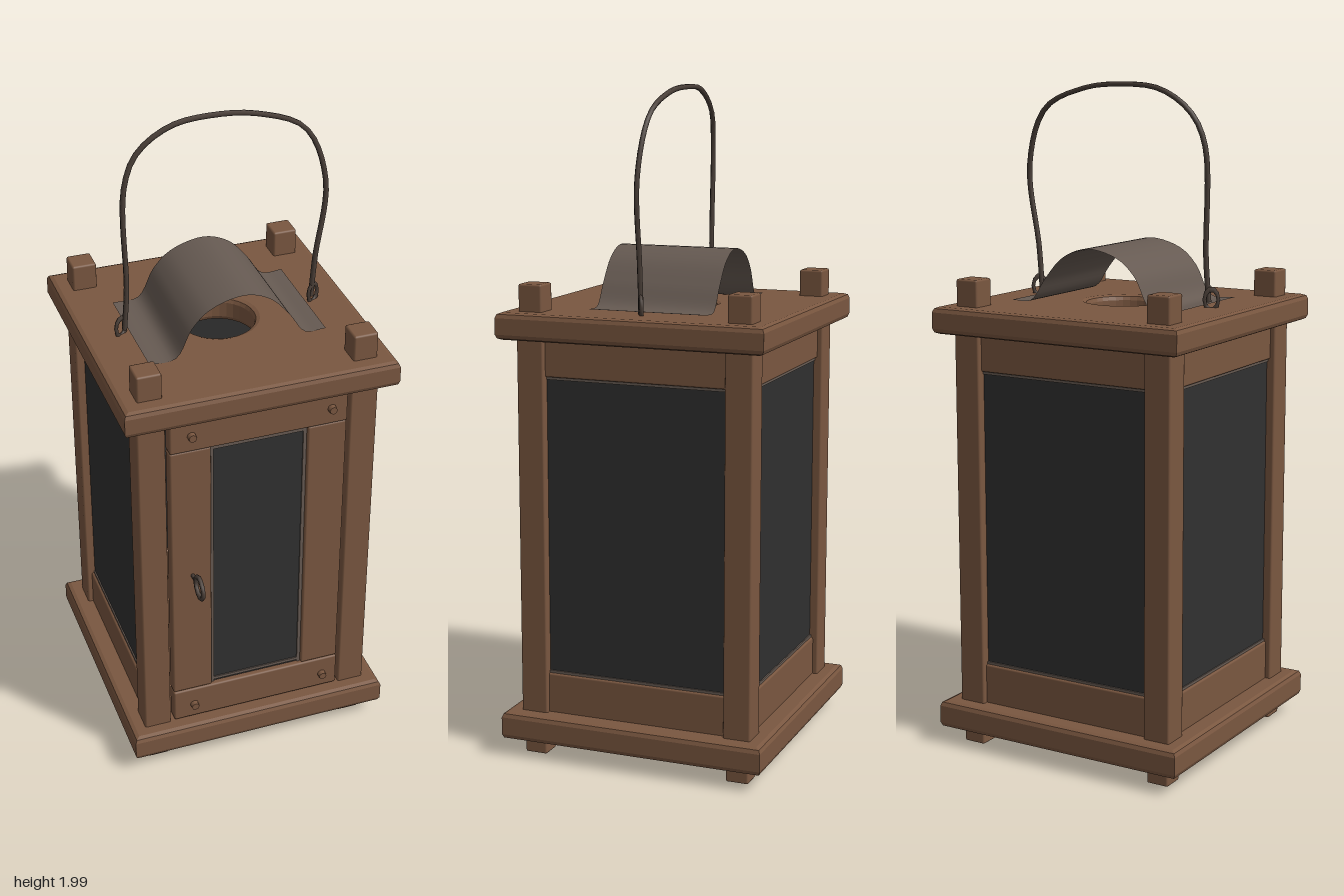
import * as THREE from 'three';
import { RoundedBoxGeometry } from 'three/addons/geometries/RoundedBoxGeometry.js';

function material(name, color, side = THREE.FrontSide) {
  const m = new THREE.MeshStandardMaterial({ color, side });
  m.name = name;
  return m;
}

export function createModel() {
  const lantern = new THREE.Group();
  lantern.name = 'lantern';
  const wood = material('brown wood', 0x7a5740);
  const glass = material('dark glass', 0x303030);
  const tin = material('grey tin', 0x665a52, THREE.DoubleSide);
  const iron = material('dark iron', 0x4a3f38);

  // The wooden body sits slightly behind the origin; the door ring reaches forward.
  const body = new THREE.Group();
  body.name = 'body';
  body.position.z = -0.03;
  lantern.add(body);

  const add = (parent, name, geometry, mat, x = 0, y = 0, z = 0) => {
    const mesh = new THREE.Mesh(geometry, mat);
    mesh.name = name;
    mesh.position.set(x, y, z);
    parent.add(mesh);
    return mesh;
  };
  // Softened board given by its x, y and z limits
  const board = (parent, name, [x0, x1], [y0, y1], [z0, z1], mat = wood) =>
    add(parent, name, new RoundedBoxGeometry(x1 - x0, y1 - y0, z1 - z0, 1, 0.006), mat,
      (x0 + x1) / 2, (y0 + y1) / 2, (z0 + z1) / 2);

  // Square bevelled slab, optionally with a round smoke hole
  const slab = (name, y0, y1, holeRadius) => {
    const b = 0.016, h = 0.41 - b;
    const shape = new THREE.Shape([[-h, -h], [h, -h], [h, h], [-h, h]].map(p => new THREE.Vector2(...p)));
    if (holeRadius) {
      shape.holes.push(new THREE.Path().absarc(0, 0, holeRadius + b, 0, Math.PI * 2, true));
    }
    const g = new THREE.ExtrudeGeometry(shape, {
      depth: y1 - y0 - 2 * b, bevelSize: b, bevelThickness: b, bevelSegments: 2, curveSegments: 16,
    });
    g.rotateX(-Math.PI / 2);
    add(body, name, g, wood, 0, y0 + b, 0);
  };
  slab('base', 0.06, 0.145);
  slab('roof', 1.275, 1.355, 0.11);

  // Corner posts with tenons through the roof and feet below the base
  for (const sx of [-1, 1]) {
    for (const sz of [-1, 1]) {
      const x = sx * 0.322, z = sz * 0.322;
      board(body, 'cornerPost', [x - 0.042, x + 0.042], [0.13, 1.29], [z - 0.042, z + 0.042]);
      board(body, 'postTop', [x - 0.037, x + 0.037], [1.33, 1.435], [z - 0.037, z + 0.037]);
      board(body, 'foot', [x - 0.035, x + 0.035], [0.01, 0.08], [z - 0.035, z + 0.035]);
    }
  }

  // Glazed walls: left, right and back
  for (const [name, angle] of [['leftWall', Math.PI / 2], ['rightWall', -Math.PI / 2], ['backWall', Math.PI]]) {
    const wall = new THREE.Group();
    wall.name = name;
    wall.rotation.y = angle;
    body.add(wall);
    board(wall, 'lowerRail', [-0.285, 0.285], [0.14, 0.265], [0.31, 0.348]);
    board(wall, 'upperRail', [-0.285, 0.285], [1.165, 1.28], [0.31, 0.348]);
    add(wall, 'pane', new THREE.BoxGeometry(0.57, 0.92, 0.01), glass, 0, 0.715, 0.332);
    for (const y of [0.269, 1.161]) {
      add(wall, 'paneEdge', new THREE.BoxGeometry(0.56, 0.008, 0.012), tin, 0, y, 0.335);
    }
  }

  // Door with narrow pane
  const door = new THREE.Group();
  door.name = 'door';
  body.add(door);
  board(door, 'doorLowerRail', [-0.27, 0.27], [0.15, 0.262], [0.325, 0.368]);
  board(door, 'doorUpperRail', [-0.27, 0.27], [1.162, 1.27], [0.325, 0.368]);
  board(door, 'doorRightStile', [-0.27, -0.145], [0.262, 1.162], [0.325, 0.365]);
  board(door, 'doorLeftStile', [0.15, 0.27], [0.262, 1.162], [0.325, 0.365]);
  add(door, 'doorPane', new THREE.BoxGeometry(0.31, 0.92, 0.01), glass, 0.002, 0.712, 0.345);
  for (const x of [-0.14, 0.145]) {
    add(door, 'doorPaneEdge', new THREE.BoxGeometry(0.01, 0.9, 0.012), tin, x, 0.712, 0.348);
  }
  for (const y of [0.274, 1.15]) {
    add(door, 'doorPaneEdge', new THREE.BoxGeometry(0.285, 0.01, 0.012), tin, 0.002, y, 0.348);
  }
  // Pegs in the door rails
  for (const x of [-0.205, 0.22]) {
    for (const y of [0.2, 1.215]) {
      const peg = new THREE.CylinderGeometry(0.012, 0.014, 0.02, 8).rotateX(Math.PI / 2);
      add(door, 'doorPeg', peg, wood, x, y, 0.373);
    }
  }
  // Pull ring on a short shank
  const ring = add(lantern, 'pullRing', new THREE.TorusGeometry(0.034, 0.007, 6, 12), iron, -0.205, 0.712, 0.398);
  ring.rotation.set(0.4, Math.PI / 2, 0);
  add(lantern, 'ringShank', new THREE.CylinderGeometry(0.006, 0.006, 0.035, 6).rotateX(Math.PI / 2),
    iron, -0.205, 0.712, 0.348);

  // Bent tin hood above the smoke hole, open at both ends
  const arch = [[-0.14, 1.45], [-0.085, 1.5], [0.02, 1.525], [0.1, 1.495], [0.16, 1.43]];
  const curve = new THREE.CatmullRomCurve3(
    [[-0.27, 1.36], [-0.19, 1.363], ...arch, [0.21, 1.363], [0.275, 1.36]].map(([x, y]) => new THREE.Vector3(x, y, 0)));
  const hood = new THREE.PlaneGeometry(1, 0.365, 40, 1).rotateX(-Math.PI / 2);
  const p = hood.attributes.position;
  for (let i = 0; i < p.count; i++) {
    const c = curve.getPoint(p.getX(i) + 0.5);
    p.setXYZ(i, c.x, c.y, p.getZ(i) - 0.03 - c.x * 0.04);
  }
  hood.computeVertexNormals();
  add(lantern, 'smokeHood', hood, tin);

  // Carrying wire and its staples
  const wirePoints = [
    [-0.285, 1.37, -0.03], [-0.275, 1.5, -0.03], [-0.272, 1.82, -0.035], [-0.23, 1.915, -0.045],
    [-0.13, 1.98, -0.05], [0, 1.992, -0.055], [0.13, 1.978, -0.05], [0.27, 1.915, -0.045],
    [0.333, 1.745, -0.035], [0.305, 1.5, -0.03], [0.295, 1.37, -0.03],
  ].map(a => new THREE.Vector3(...a));
  const wire = new THREE.CatmullRomCurve3(wirePoints);
  add(lantern, 'carryingWire', new THREE.TubeGeometry(wire, 48, 0.008, 6), iron);
  for (const x of [-0.295, 0.302]) {
    const staple = new THREE.TorusGeometry(0.02, 0.006, 5, 10).scale(1, 1.5, 1);
    add(lantern, 'wireStaple', staple, iron, x, 1.378, -0.032).rotation.y = 0.5;
  }
  return lantern;
}
